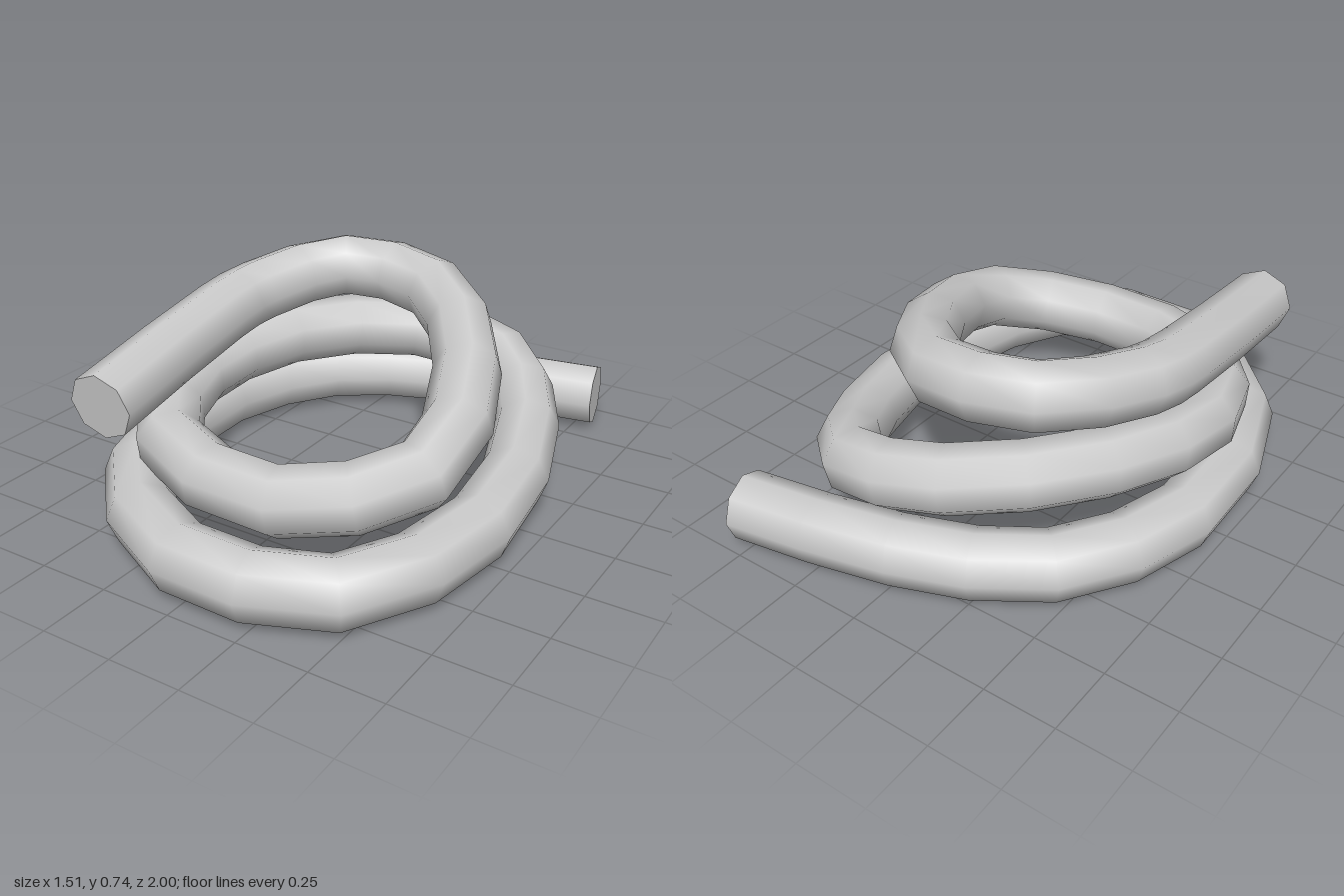
import * as THREE from 'three';

const RADIUS = 0.116;
const SIDES = 8;

// Centre line of the coil, from the low tail to the raised end
const PATH = [
  [0.56, 0.116, -0.892], [0.01, 0.116, -0.78], [-0.43, 0.116, -0.56], [-0.64, 0.116, -0.12],
  [-0.52, 0.116, 0.52], [-0.05, 0.116, 0.87], [0.45, 0.116, 0.78], [0.635, 0.125, 0.25],
  [0.51, 0.19, -0.36], [0.26, 0.285, -0.67], [-0.09, 0.348, -0.645], [-0.45, 0.36, -0.3],
  [-0.56, 0.315, 0.14], [-0.36, 0.275, 0.53], [0.15, 0.255, 0.64], [0.505, 0.335, 0.39],
  [0.4, 0.475, -0.1], [0.07, 0.59, -0.46], [-0.29, 0.622, -0.44], [-0.47, 0.58, -0.13],
  [-0.49, 0.555, 0.07], [-0.45, 0.46, 0.745],
];

// Flat end made from one ring of the tube
function capGeometry(tube, ring, flip) {
  const source = tube.attributes.position;
  const positions = [];
  const index = [];
  for (let j = 0; j < SIDES; j++) {
    const k = ring * (SIDES + 1) + j;
    positions.push(source.getX(k), source.getY(k), source.getZ(k));
    if (j > 1) index.push(0, ...(flip ? [j, j - 1] : [j - 1, j]));
  }
  const geometry = new THREE.BufferGeometry();
  geometry.setAttribute('position', new THREE.Float32BufferAttribute(positions, 3));
  geometry.setIndex(index);
  geometry.computeVertexNormals();
  return geometry;
}

export function createModel() {
  const group = new THREE.Group();
  group.name = 'coil';
  const material = new THREE.MeshStandardMaterial({ color: 0xcccccc, side: THREE.DoubleSide });
  const add = (name, geometry) => {
    const mesh = new THREE.Mesh(geometry, material);
    mesh.name = name;
    group.add(mesh);
  };

  // Two rings per path point, placed on the points rather than by arc length
  const curve = new THREE.CatmullRomCurve3(PATH.map((p) => new THREE.Vector3(...p)));
  curve.getPointAt = curve.getPoint;
  curve.getTangentAt = curve.getTangent;
  const segments = (PATH.length - 1) * 2;
  const tube = new THREE.TubeGeometry(curve, segments, RADIUS, SIDES, false);

  add('coiledTube', tube);
  add('lowerEnd', capGeometry(tube, 0, false));
  add('upperEnd', capGeometry(tube, segments, true));
  return group;
}
